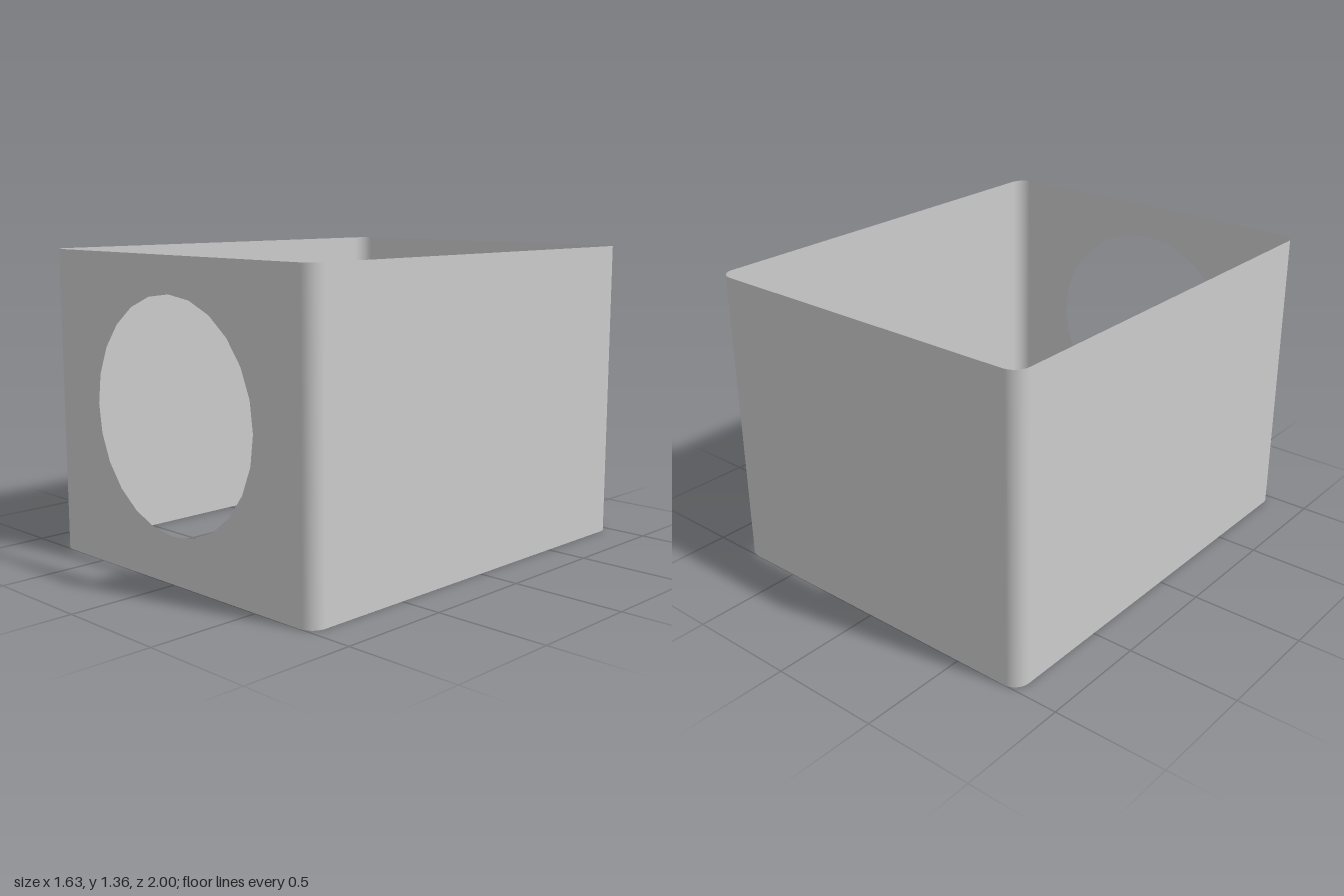
import * as THREE from 'three';

const W = 0.813, D = 1, H = 1.357, R = 0.07; // half width, half depth, height, corner radius
const HOLE_Y = 0.703, HOLE_R = 0.498;
const CORNER_STEPS = 8;

// Thin wall running from the front left corner round the back to the front right corner
function wrapGeometry() {
  const positions = [], normals = [], indices = [];
  const corners = [[1, 1], [1, -1], [-1, -1], [-1, 1]];
  corners.forEach(([sx, sz], c) => {
    for (let i = 0; i <= CORNER_STEPS; i++) {
      const a = (Math.PI / 2) * (1 - c - i / CORNER_STEPS);
      const nx = Math.cos(a), nz = Math.sin(a);
      for (const y of [0, H]) {
        positions.push(sx * (W - R) + R * nx, y, sz * (D - R) + R * nz);
        normals.push(nx, 0, nz);
      }
    }
  });
  for (let k = 0; k < positions.length / 3 - 2; k += 2) {
    indices.push(k, k + 2, k + 3, k, k + 3, k + 1);
  }
  const geometry = new THREE.BufferGeometry();
  geometry.setAttribute('position', new THREE.Float32BufferAttribute(positions, 3));
  geometry.setAttribute('normal', new THREE.Float32BufferAttribute(normals, 3));
  geometry.setIndex(indices);
  return geometry;
}

// Flat front wall with a 24-sided round opening
function frontGeometry() {
  const x = W - R;
  const panel = new THREE.Shape([
    new THREE.Vector2(-x, 0), new THREE.Vector2(x, 0),
    new THREE.Vector2(x, H), new THREE.Vector2(-x, H),
  ]);
  panel.holes.push(new THREE.Path().absarc(0, HOLE_Y, HOLE_R, 0, Math.PI * 2, true));
  return new THREE.ShapeGeometry(panel, 12).translate(0, 0, D);
}

export function createModel() {
  const group = new THREE.Group();
  group.name = 'openSleeve';
  const material = new THREE.MeshStandardMaterial({ color: 0xcccccc, side: THREE.DoubleSide });

  const walls = new THREE.Mesh(wrapGeometry(), material);
  walls.name = 'sideAndBackWalls';

  const front = new THREE.Mesh(frontGeometry(), material);
  front.name = 'frontWall';

  group.add(walls, front);
  return group;
}
